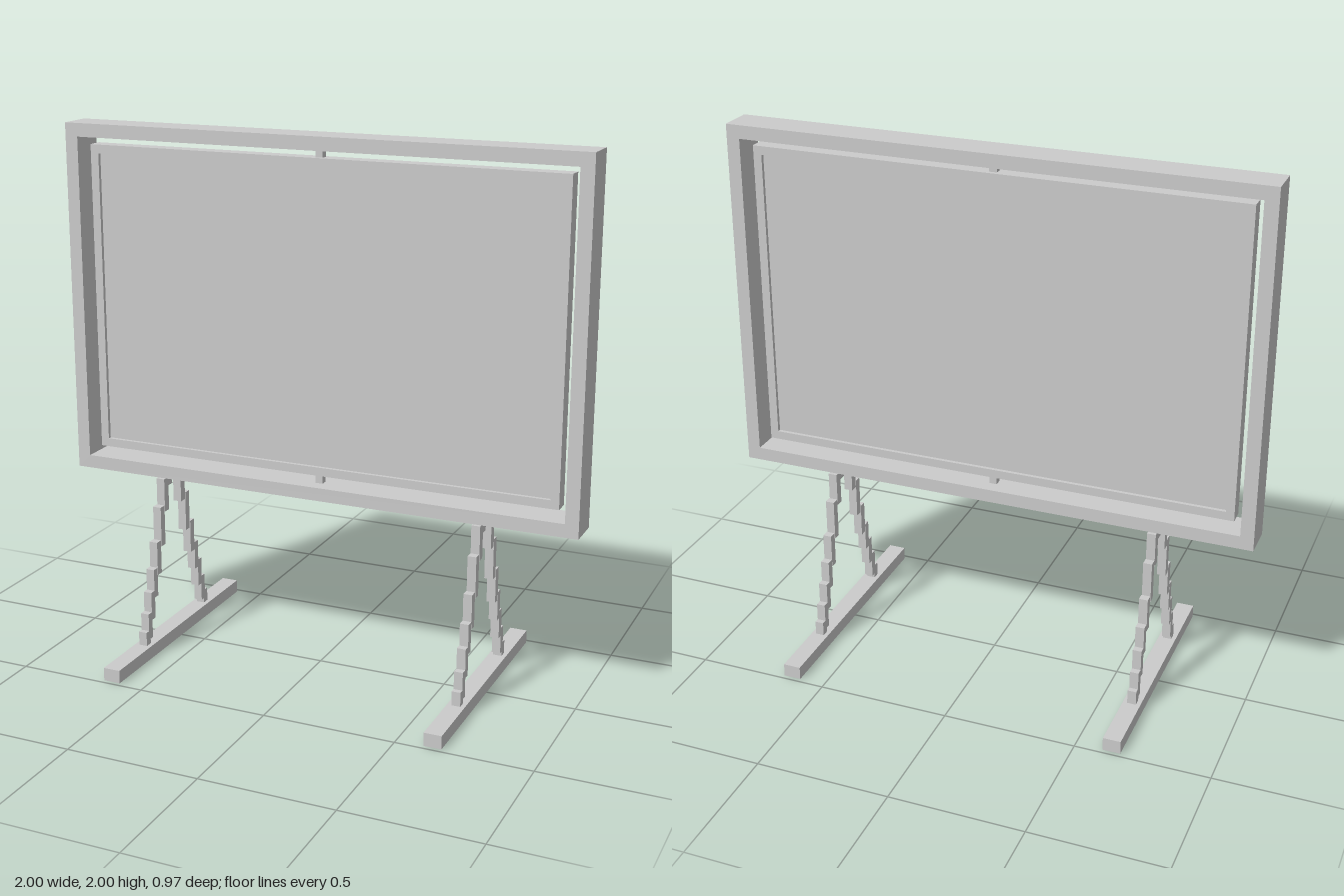
import * as THREE from 'three';

const material = new THREE.MeshStandardMaterial({ color: 0xcccccc, flatShading: true });

// Box given by its lower and upper corners
function box(name, [x0, y0, z0], [x1, y1, z1]) {
  const mesh = new THREE.Mesh(new THREE.BoxGeometry(x1 - x0, y1 - y0, z1 - z0), material);
  mesh.position.set((x0 + x1) / 2, (y0 + y1) / 2, (z0 + z1) / 2);
  mesh.name = name;
  return mesh;
}

// Rectangular ring centred on x = 0 and z = 0
function ring(name, halfWidth, bottom, top, border, halfDepth) {
  const rect = (Path, w, y0, y1) => {
    const p = new Path();
    p.moveTo(-w, y0).lineTo(w, y0).lineTo(w, y1).lineTo(-w, y1).closePath();
    return p;
  };
  const shape = rect(THREE.Shape, halfWidth, bottom, top);
  shape.holes.push(rect(THREE.Path, halfWidth - border, bottom + border, top - border));
  const geometry = new THREE.ExtrudeGeometry(shape, { depth: halfDepth * 2, bevelEnabled: false });
  geometry.translate(0, 0, -halfDepth);
  const mesh = new THREE.Mesh(geometry, material);
  mesh.name = name;
  return mesh;
}

// Stepped A-shaped leg pair on a long foot
function createStand(side) {
  const stand = new THREE.Group();
  stand.name = side > 0 ? 'leftStand' : 'rightStand';
  const w = 0.0165;
  stand.add(box('foot', [-0.033, 0, -0.483], [0.033, 0.05, 0.483]));
  stand.add(box('legBridge', [-w, 0.655, -0.02], [w, 0.67, 0.02]));

  // Leg steps: outer z, thickness, bottom y, top y
  const steps = [
    [0.08, 0.062, 0.637, 0.67],
    [0.08, 0.032, 0.54, 0.67],
    [0.113, 0.03, 0.41, 0.566],
    [0.148, 0.03, 0.305, 0.436],
    [0.178, 0.028, 0.222, 0.335],
    [0.203, 0.028, 0.14, 0.251],
    [0.228, 0.028, 0.068, 0.172],
    [0.248, 0.03, 0.05, 0.104],
  ];
  for (const dir of [1, -1]) {
    for (const [outer, thick, y0, y1] of steps) {
      const z = [dir * outer, dir * (outer - thick)].sort((a, b) => a - b);
      stand.add(box(dir > 0 ? 'frontLegStep' : 'backLegStep', [-w, y0, z[0]], [w, y1, z[1]]));
    }
  }
  stand.position.x = side * 0.633;
  return stand;
}

export function createModel() {
  const model = new THREE.Group();
  model.name = 'pivotingBoard';

  // Deep outer frame
  model.add(ring('outerFrame', 1, 0.67, 2, 0.05, 0.067));

  // Board: rim with a recessed panel
  const board = new THREE.Group();
  board.name = 'board';
  board.add(ring('boardRim', 0.917, 0.754, 1.92, 0.032, 0.03));
  board.add(box('boardPanel', [-0.885, 0.786, -0.016], [0.885, 1.888, 0.016]));
  model.add(board);

  // Pivot pins above and below the board
  const p = 0.014;
  model.add(box('topPivot', [-p, 1.92, -p], [p, 1.96, p]));
  model.add(box('bottomPivot', [-p, 0.655, -p], [p, 0.754, p]));

  for (const side of [1, -1]) model.add(createStand(side));
  return model;
}
